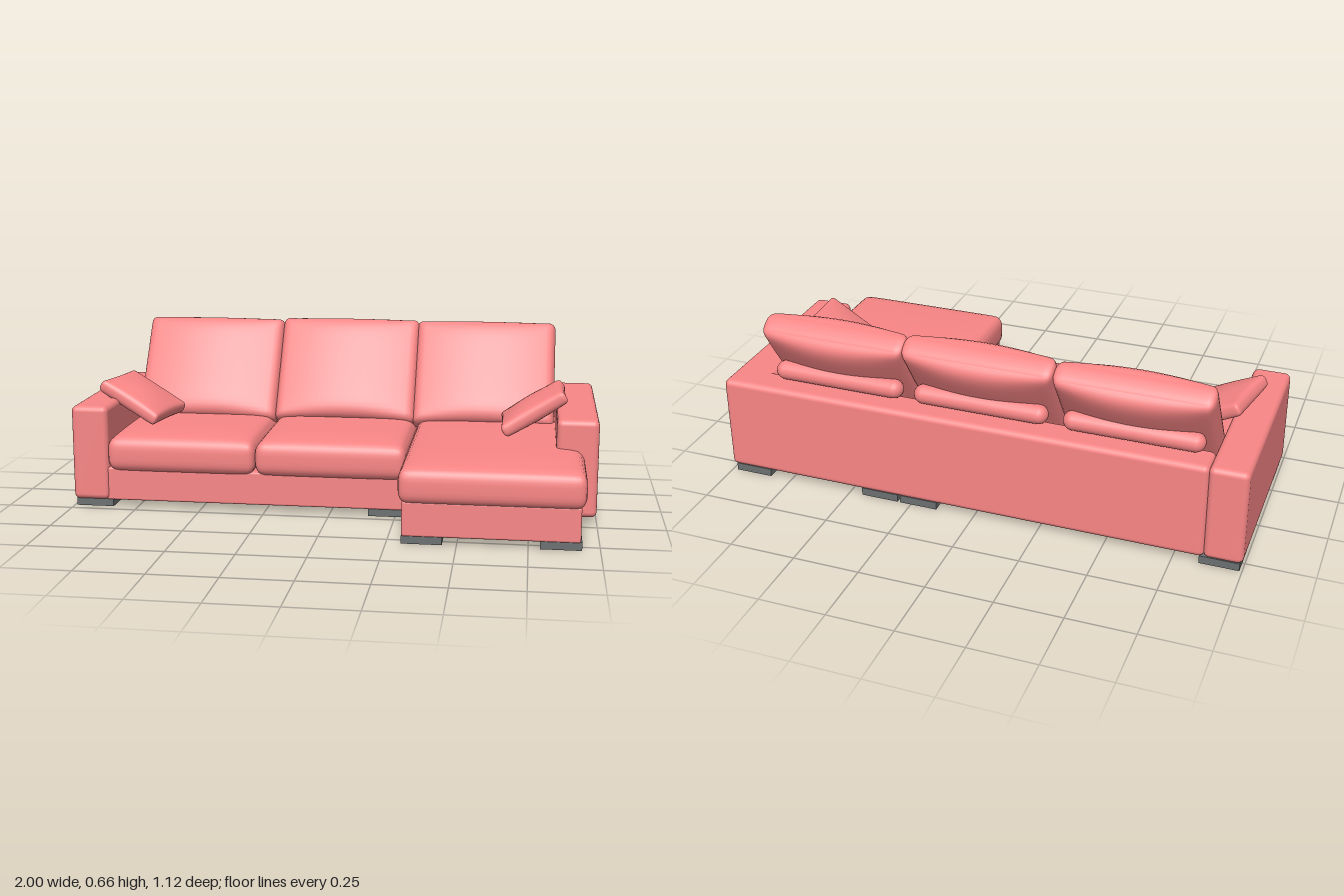
import * as THREE from 'three';
import { mergeVertices } from 'three/addons/utils/BufferGeometryUtils.js';
import { RoundedBoxGeometry } from 'three/addons/geometries/RoundedBoxGeometry.js';

const fabric = new THREE.MeshStandardMaterial({ color: 0xfa8686 });
const footMaterial = new THREE.MeshStandardMaterial({ color: 0x6c7070 });

// Padded block: edges rounded by rPlan (x, z) and rY, crowned top and bottom,
// sides drawn in by pinch; fall sets how the crown fades along x and z
function padGeometry(w, h, d, { rPlan, rY, crown, fall, pinch = 0 }) {
  const box = new THREE.BoxGeometry(2, 2, 2, 24, 12, 24);
  box.deleteAttribute('uv');
  box.deleteAttribute('normal');
  const geo = mergeVertices(box);
  const pos = geo.attributes.position;
  const half = new THREE.Vector3(w / 2, h / 2, d / 2);
  const radius = new THREE.Vector3(rPlan, rY, rPlan);
  const inner = half.clone().sub(radius);
  const outer = inner.clone().negate();
  const p = new THREE.Vector3(), core = new THREE.Vector3();
  const ease = (s) => Math.sin((s * Math.PI) / 2);
  for (let i = 0; i < pos.count; i++) {
    p.fromBufferAttribute(pos, i);
    const sx = ease(p.x), sy = ease(p.y), sz = ease(p.z);
    p.set(sx, sy, sz).multiply(half);
    core.copy(p).clamp(outer, inner);
    p.sub(core).divide(radius).normalize().multiply(radius).add(core);
    p.y += sy * crown * (1 - Math.abs(sx) ** fall[0]) * (1 - Math.abs(sz) ** fall[1]);
    p.x *= 1 - pinch * (1 - sz * sz);
    p.z *= 1 - pinch * (1 - sx * sx);
    pos.setXYZ(i, p.x, p.y, p.z);
  }
  geo.computeVertexNormals();
  return geo;
}

export function createModel() {
  const model = new THREE.Group();
  model.name = 'cornerSofa';

  const add = (name, geo, x, y, z, material = fabric) => {
    const mesh = new THREE.Mesh(geo, material);
    mesh.name = name;
    mesh.position.set(x, y, z);
    model.add(mesh);
    return mesh;
  };

  // Rounded block given by its limits
  const block = (name, x0, x1, y0, y1, z0, z1, r) =>
    add(name, new RoundedBoxGeometry(x1 - x0, y1 - y0, z1 - z0, 4, r),
      (x0 + x1) / 2, (y0 + y1) / 2, (z0 + z1) / 2);

  // Arms and back panel
  block('rightArm', -1, -0.858, 0.027, 0.394, -0.555, 0.224, 0.022);
  block('leftArm', 0.843, 0.998, 0.027, 0.394, -0.555, 0.224, 0.022);
  block('backPanel', -0.862, 0.998, 0.027, 0.394, -0.557, -0.43, 0.022);

  // Hollow base frames, open underneath
  const frame = (name, x0, x1, z0, z1) => {
    const t = 0.03, y0 = 0.027, y1 = 0.155;
    block(name + 'FrontRail', x0, x1, y0, y1, z1 - t, z1, 0.008);
    block(name + 'BackRail', x0, x1, y0, y1, z0, z0 + t, 0.008);
    block(name + 'RightRail', x0, x0 + t, y0, y1, z0, z1, 0.008);
    block(name + 'LeftRail', x1 - t, x1, y0, y1, z0, z1, 0.008);
  };
  frame('sofaBase', -0.87, 0.302, -0.45, 0.214);
  frame('chaiseBase', 0.304, 0.932, -0.45, 0.546);
  block('baseDivider', -0.305, -0.265, 0.08, 0.155, -0.44, 0.2, 0.008);

  // Seat cushions: right, middle, and the long chaise
  const seats = [
    ['rightSeatCushion', -0.86, -0.285, 0.236],
    ['middleSeatCushion', -0.285, 0.289, 0.236],
    ['chaiseCushion', 0.289, 0.949, 0.562],
  ];
  for (const [name, x0, x1, z1] of seats) {
    const z0 = -0.45;
    const geo = padGeometry(x1 - x0, 0.128, z1 - z0, { rPlan: 0.034, rY: 0.045, crown: 0.016, fall: [6, 4] });
    add(name, geo, (x0 + x1) / 2, 0.21, (z0 + z1) / 2);
  }

  // Leaning back cushions, each with a bolster behind it on the panel
  const backs = [['right', -0.571, 0.575, 0], ['middle', -0.002, 0.572, 0.006], ['left', 0.556, 0.565, 0.004]];
  for (const [side, x, w, lift] of backs) {
    const geo = padGeometry(w, 0.096, 0.46, { rPlan: 0.026, rY: 0.04, crown: 0.038, fall: [2, 8] });
    add(side + 'BackCushion', geo, x, 0.443 + lift, -0.365).rotation.x = 0.98;
    const bolster = add(side + 'Bolster', new THREE.CapsuleGeometry(0.036, 0.44, 6, 20), x, 0.432, -0.463);
    bolster.rotation.z = Math.PI / 2;
  }

  // Throw pillows resting against the arms
  const pillow = (name, x, y, z, yaw, tilt) => {
    const geo = padGeometry(0.275, 0.05, 0.274, { rPlan: 0.016, rY: 0.022, crown: 0.02, fall: [2, 2], pinch: 0.035 });
    add(name, geo, x, y, z).rotation.set(0, yaw, tilt, 'YZX');
  };
  pillow('rightPillow', -0.795, 0.38, -0.067, -0.19, -0.5);
  pillow('leftPillow', 0.757, 0.386, -0.033, 0.02, 0.56);

  // Block feet at [x, z]
  const feet = [
    [-0.918, 0.142], [-0.918, -0.482], [0.22, 0.142], [0.22, -0.482],
    [0.376, -0.482], [0.908, -0.482], [0.376, 0.475], [0.864, 0.475],
  ];
  for (const [x, z] of feet) {
    add('foot', new THREE.BoxGeometry(0.145, 0.03, 0.135), x, 0.015, z, footMaterial);
  }

  return model;
}
